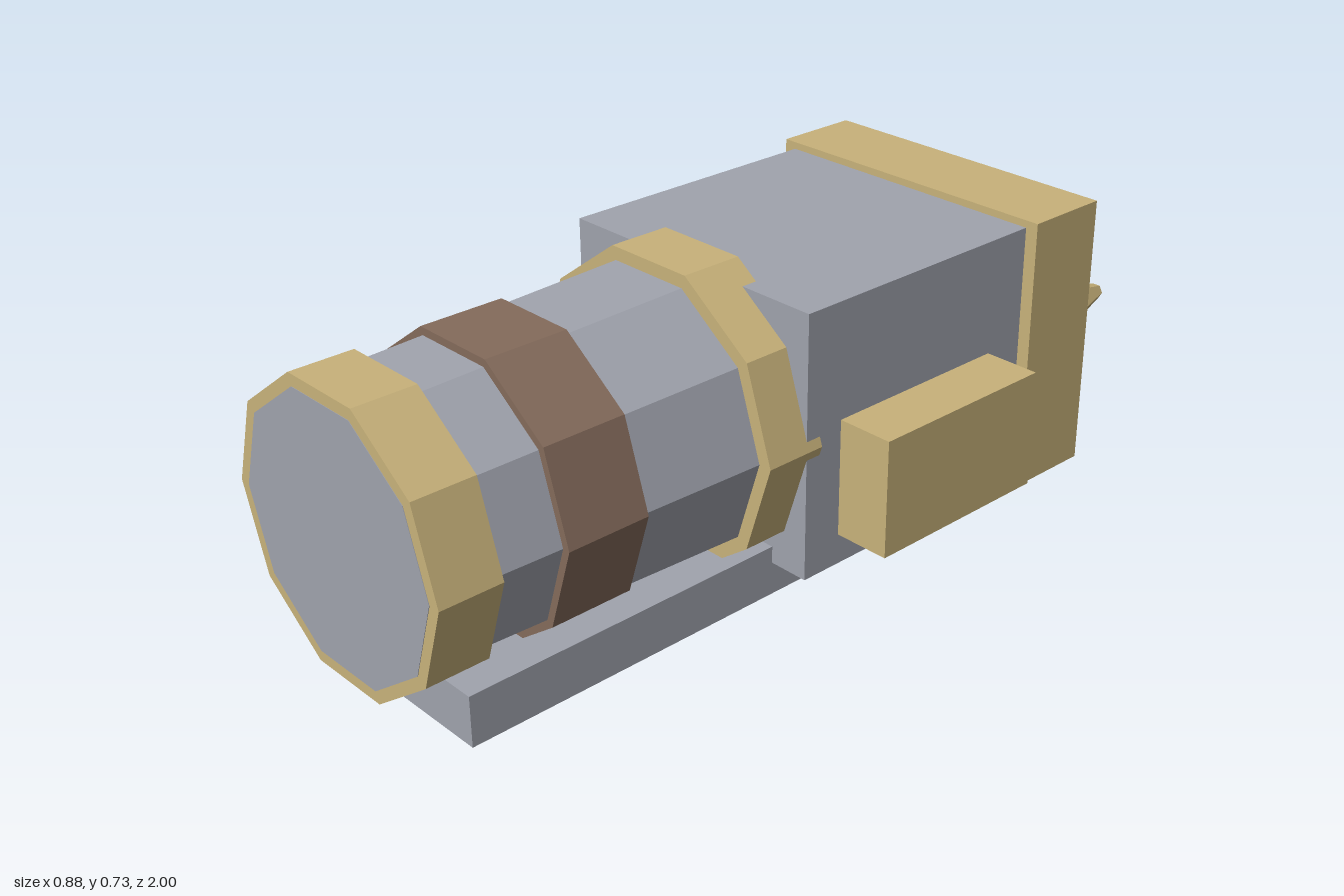
import * as THREE from 'three';

export function createModel() {
  const model = new THREE.Group();
  const material = (name, color) => {
    const m = new THREE.MeshStandardMaterial({ color, flatShading: true });
    m.name = name;
    return m;
  };
  const steel = material('steel grey', 0xa0a3ad);
  const brass = material('brass', 0xc8b27a);
  const leather = material('brown', 0x846b5b);

  // Axis shared by the barrel, bands and housing
  const cx = -0.053, cy = 0.387;

  const add = (name, geometry, mat) => {
    const mesh = new THREE.Mesh(geometry, mat);
    mesh.name = name;
    model.add(mesh);
    return mesh;
  };

  // Box given by its limits on each axis
  const box = (name, mat, [x0, x1], [y0, y1], [z0, z1]) =>
    add(name, new THREE.BoxGeometry(x1 - x0, y1 - y0, z1 - z0), mat)
      .position.set((x0 + x1) / 2, (y0 + y1) / 2, (z0 + z1) / 2);

  // Faceted prism or cone along z, with corners at its left and right
  const prism = (name, mat, sides, x, rFront, rBack, z0, z1) => {
    const g = new THREE.CylinderGeometry(rFront, rBack, z1 - z0, sides, 1, false, Math.PI / 2);
    g.rotateX(Math.PI / 2);
    add(name, g, mat).position.set(x, cy, (z0 + z1) / 2);
  };

  // Housing, back plate, side box and base
  box('housing', steel, [-0.412, 0.305], [0.078, 0.695], [-0.575, 0.1]);
  box('backPlate', brass, [-0.443, 0.336], [0.062, 0.712], [-0.785, -0.575]);
  box('sideBox', brass, [0.305, 0.44], [0.15, 0.425], [-0.47, 0]);
  box('base', steel, [-0.312, 0.207], [0, 0.118], [-0.08, 0.9]);
  box('bottomPlate', brass, [-0.163, 0.057], [0.03, 0.08], [-0.5, -0.07]);

  // Tapered ten-sided barrel with its bands
  prism('barrel', steel, 10, cx, 0.307, 0.338, 0.05, 1.001);
  prism('frontBand', brass, 10, cx, 0.335, 0.335, 0.855, 1);
  prism('middleBand', leather, 10, cx, 0.335, 0.335, 0.508, 0.704);
  prism('rearBand', brass, 10, cx, 0.365, 0.365, 0.062, 0.21);

  // Row of spikes on the back plate
  for (let i = 0; i < 4; i++) {
    prism('spike' + (i + 1), brass, 6, cx + (i - 1.5) * 0.171, 0.08, 0.018, -1, -0.785);
  }
  return model;
}
